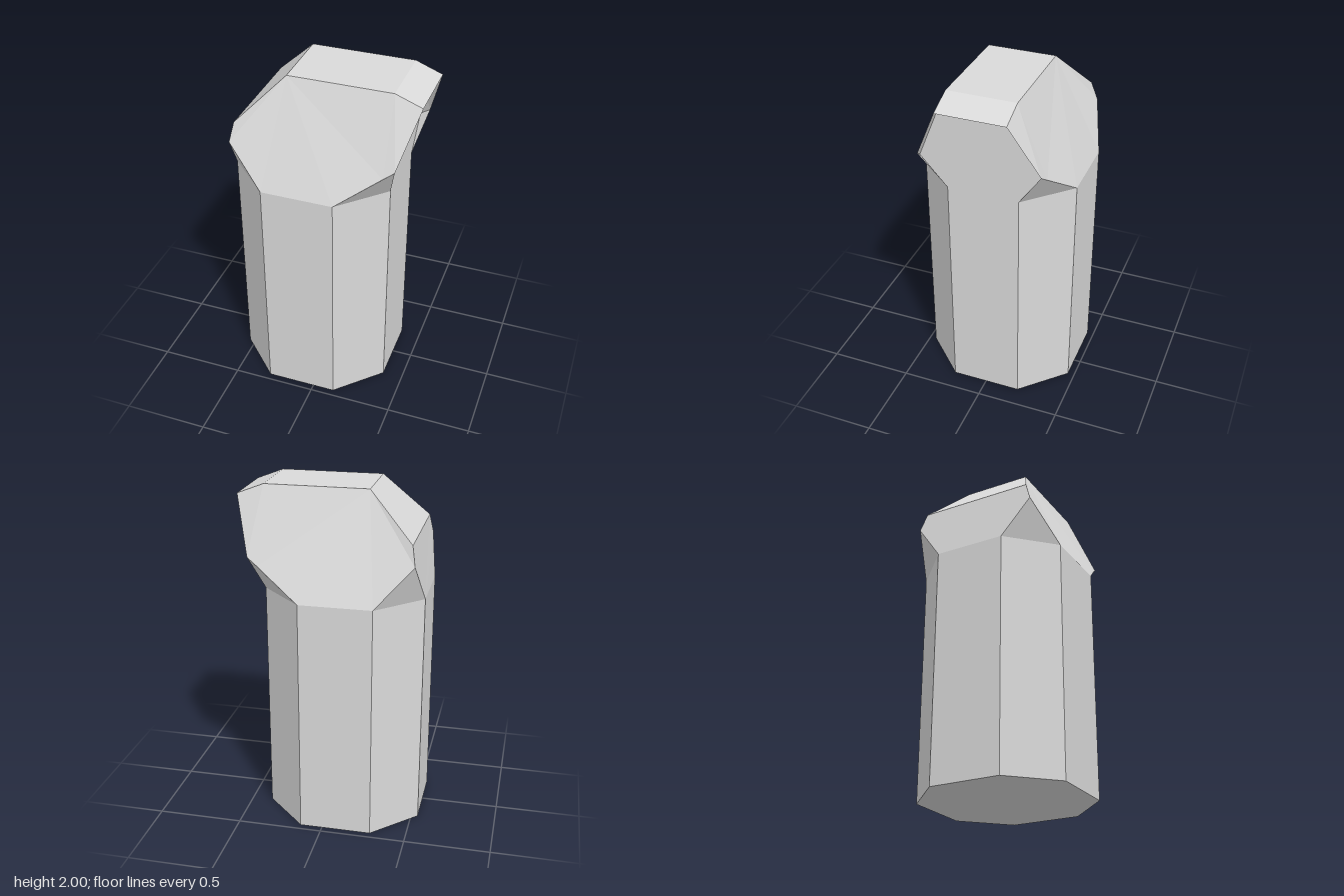
import * as THREE from 'three';

// Flat panel fanned out from the first corner of a loop
function panel(points) {
  const data = [];
  for (let i = 1; i < points.length - 1; i++) data.push(...points[0], ...points[i], ...points[i + 1]);
  const geometry = new THREE.BufferGeometry();
  geometry.setAttribute('position', new THREE.Float32BufferAttribute(data, 3));
  geometry.computeVertexNormals();
  return geometry;
}

export function createModel() {
  const model = new THREE.Group();
  const grey = new THREE.MeshStandardMaterial({ color: 0xdadada, side: THREE.DoubleSide, flatShading: true });
  grey.name = 'pale grey';

  const add = (name, points) => {
    const mesh = new THREE.Mesh(panel(points), grey);
    mesh.name = name;
    model.add(mesh);
  };
  // Same panel on the front and the back, with the winding turned round
  const addPair = (name, points) => {
    add('front' + name, points);
    const [first, ...rest] = points.map(([x, y, z]) => [x, y, -z]);
    add('back' + name, [first, ...rest.reverse()]);
  };

  // Eight-sided post
  const ring = [
    [-0.54, 0.21], [-0.29, 0.46], [0.13, 0.46], [0.38, 0.21],
    [0.38, -0.21], [0.13, -0.46], [-0.29, -0.46], [-0.54, -0.21],
  ];
  ring.forEach(([x, z], i) => {
    const [nx, nz] = ring[(i + 1) % ring.length];
    add('postSide' + (i + 1), [[x, 0, z], [nx, 0, nz], [nx, 1.4, nz], [x, 1.4, z]]);
  });
  add('postBase', ring.map(([x, z]) => [x, 0, z]).reverse());

  // Tapered head
  add('headRightWall', [
    [-0.54, 1.4, -0.21], [-0.54, 1.4, 0.21], [-0.5, 1.63, 0.375],
    [-0.48, 1.74, 0.34], [-0.48, 1.74, -0.34], [-0.5, 1.63, -0.375]]);
  add('headSlope', [[-0.48, 1.74, -0.34], [-0.48, 1.74, 0.34], [-0.22, 2, 0.2], [-0.22, 2, -0.2]]);
  add('headRoof', [[-0.22, 2, 0.2], [0.38, 2, 0.2], [0.38, 2, -0.2], [-0.22, 2, -0.2]]);
  add('headLeftWall', [
    [0.38, 1.4, 0.21], [0.38, 1.4, -0.21], [0.38, 1.577, -0.37],
    [0.38, 2, -0.2], [0.38, 2, 0.2], [0.38, 1.577, 0.37]]);
  addPair('HeadFace', [
    [-0.22, 2, 0.2], [-0.48, 1.74, 0.34], [-0.5, 1.63, 0.375], [-0.29, 1.4, 0.46],
    [0.13, 1.4, 0.46], [0.38, 1.577, 0.37], [0.38, 2, 0.2]]);
  addPair('RightChamfer', [[-0.54, 1.4, 0.21], [-0.29, 1.4, 0.46], [-0.5, 1.63, 0.375]]);

  // Chamfers that run on into the lips of the open hood
  addPair('LeftChamfer', [[0.13, 1.4, 0.46], [0.38, 1.4, 0.21], [0.44, 1.62, 0.355], [0.38, 1.577, 0.37]]);

  // Open hood past the left wall
  add('hoodRoof', [[0.38, 2, 0.2], [0.535, 1.94, 0.2], [0.535, 1.94, -0.2], [0.38, 2, -0.2]]);
  addPair('HoodCheek', [[0.38, 2, 0.2], [0.38, 1.577, 0.37], [0.44, 1.62, 0.355], [0.535, 1.94, 0.2]]);
  return model;
}
